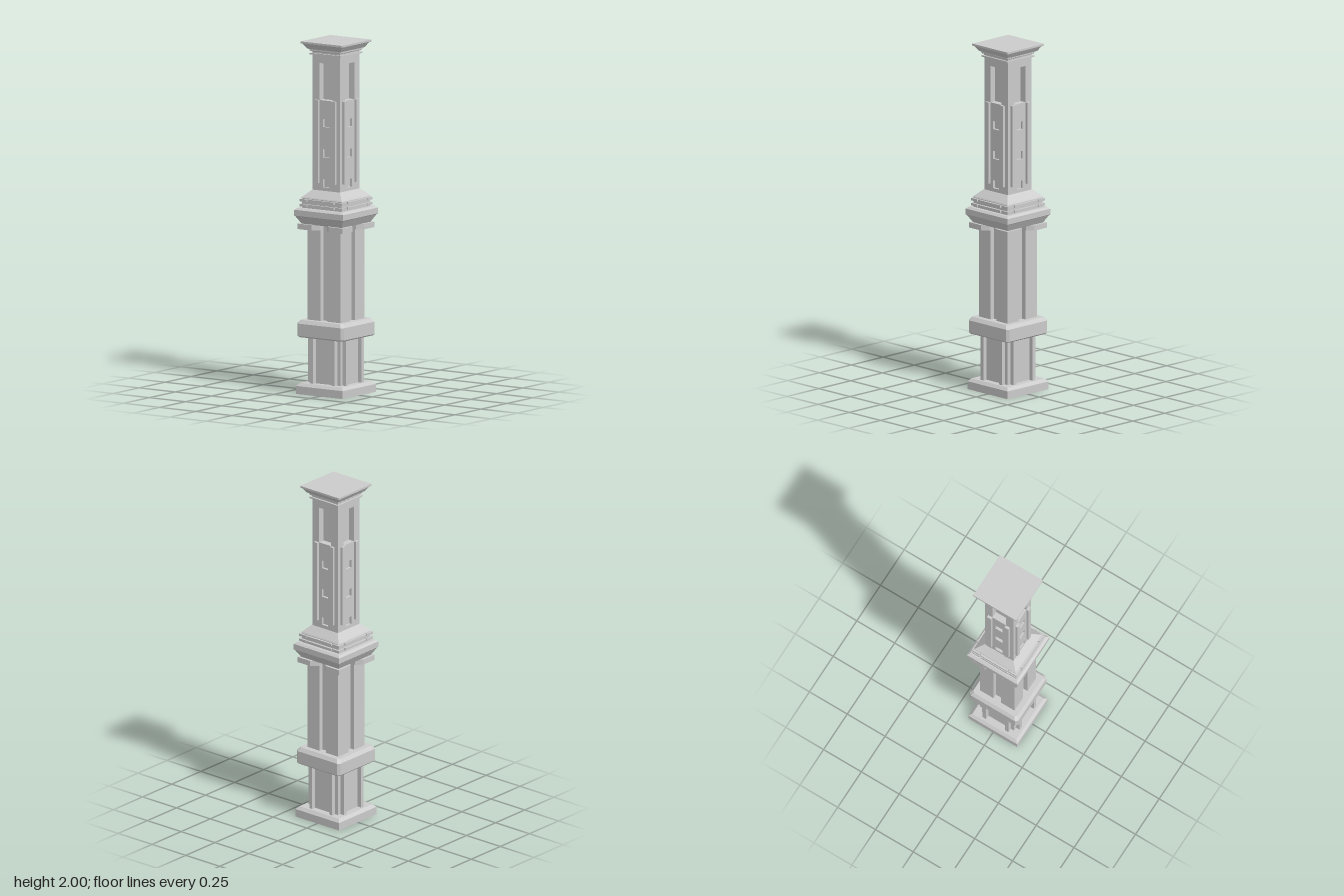
import * as THREE from 'three';

export function createModel() {
  const root = new THREE.Group();
  const mat = new THREE.MeshStandardMaterial({ color: 0xcccccc, flatShading: true });

  const add = (name, geo, parent = root) => {
    const mesh = new THREE.Mesh(geo, mat);
    mesh.name = name;
    parent.add(mesh);
    return mesh;
  };
  // Box given by its extents
  const box = (name, x0, x1, y0, y1, z0, z1, parent) => {
    const geo = new THREE.BoxGeometry(x1 - x0, y1 - y0, z1 - z0);
    geo.translate((x0 + x1) / 2, (y0 + y1) / 2, (z0 + z1) / 2);
    return add(name, geo, parent);
  };
  // Square turned moulding from [half width, height] pairs, bottom to top
  const moulding = (name, profile) => {
    const pts = [[0, profile[0][1]], ...profile, [0, profile[profile.length - 1][1]]];
    const geo = new THREE.LatheGeometry(pts.map(([h, y]) => new THREE.Vector2(h * Math.SQRT2, y)), 4, Math.PI / 4);
    return add(name, geo);
  };
  // Upright prism from a plan outline, with optional tapers
  const prism = (name, outline, y0, y1, topScale = 1, bottomScale = 1, parent = root) => {
    const shape = new THREE.Shape(outline.map(([x, z]) => new THREE.Vector2(x, -z)));
    const geo = new THREE.ExtrudeGeometry(shape, { depth: y1 - y0, bevelEnabled: false });
    geo.rotateX(-Math.PI / 2).translate(0, y0, 0);
    const p = geo.attributes.position;
    for (let i = 0; i < p.count; i++) {
      const s = p.getY(i) > (y0 + y1) / 2 ? topScale : bottomScale;
      p.setXYZ(i, p.getX(i) * s, p.getY(i), p.getZ(i) * s);
    }
    return add(name, geo, parent);
  };
  // Repeat a part on all four sides
  const fourSides = (name, build) => {
    for (let i = 0; i < 4; i++) {
      const side = new THREE.Group();
      side.name = name;
      side.rotation.y = i * Math.PI / 2;
      build(side);
      root.add(side);
    }
  };

  // Plinth
  moulding('plinth', [[0.161, 0], [0.161, 0.045], [0.145, 0.062]]);

  // Lower shaft with two ribs per face
  moulding('lowerShaft', [[0.106, 0.06], [0.106, 0.33]]);
  fourSides('lowerRibs', (g) => {
    for (const x of [-0.085, 0.063]) box('lowerRib', x, x + 0.022, 0.06, 0.33, 0.1, 0.131, g);
  });

  // Band with clipped corners
  const a = 0.161, b = 0.147;
  const octagon = [[a, b], [b, a], [-b, a], [-a, b], [-a, -b], [-b, -a], [b, -a], [a, -b]];
  prism('bandFoot', octagon, 0.323, 0.33, 1, 0.96);
  prism('band', octagon, 0.33, 0.4);
  prism('bandSlope', octagon, 0.4, 0.42, 0.9);

  // Middle shaft: core, corner posts and clipped brackets
  moulding('middleCore', [[0.088, 0.41], [0.088, 0.97]]);
  fourSides('middleCorner', (g) => {
    box('middlePost', 0.024, 0.114, 0.41, 0.97, 0.024, 0.114, g);
    prism('bracket', [[0.154, 0.154], [0.058, 0.154], [0.024, 0.12], [0.024, 0.024], [0.12, 0.024], [0.154, 0.058]],
      0.935, 0.966, 1, 1, g);
  });

  // Cornice, notched plates and sloped shoulder
  moulding('cornice', [[0.138, 0.965], [0.163, 1.008], [0.168, 1.012], [0.168, 1.045], [0.155, 1.056]]);
  moulding('plateCore', [[0.136, 1.05], [0.136, 1.115]]);
  for (const y of [1.064, 1.093]) {
    fourSides('notchedPlate', (g) => {
      box('plateMiddle', -0.09, 0.09, y, y + 0.014, 0.1, 0.149, g);
      box('plateCorner', 0.097, 0.147, y, y + 0.014, 0.097, 0.147, g);
    });
  }
  moulding('shoulder', [[0.14, 1.112], [0.136, 1.118], [0.096, 1.157]]);

  // Upper shaft: core, corner posts, pierced panels and raised strips
  moulding('upperCore', [[0.056, 1.15], [0.056, 1.93]]);
  fourSides('upperSide', (g) => {
    box('upperPost', 0.045, 0.094, 1.15, 1.93, 0.045, 0.094, g);
    box('grooveHead', -0.045, 0.045, 1.88, 1.93, 0.05, 0.094, g);
    box('panelBack', -0.045, 0.045, 1.15, 1.67, 0.05, 0.079, g);
    const panel = new THREE.Shape([[-0.045, 1.15], [0.045, 1.15], [0.045, 1.67], [-0.045, 1.67]]
      .map(([x, y]) => new THREE.Vector2(x, y)));
    for (const y of [1.2, 1.37, 1.542]) {
      panel.holes.push(new THREE.Path([[-1, -1], [-1, 1], [1, 1], [1, -1]]
        .map(([i, j]) => new THREE.Vector2(i * 0.023, y + j * 0.023))));
    }
    const geo = new THREE.ExtrudeGeometry(panel, { depth: 0.015, bevelEnabled: false });
    add('piercedPanel', geo.translate(0, 0, 0.079), g);
    for (const x of [-0.071, 0.045]) box('strip', x, x + 0.026, 1.2, 1.67, 0.09, 0.109, g);
  });

  // Capital
  moulding('capitalNeck', [[0.095, 1.92], [0.095, 1.96]]);
  moulding('capitalRing', [[0.106, 1.925], [0.106, 1.934]]);
  moulding('capitalCap', [[0.1, 1.943], [0.106, 1.947], [0.106, 1.956], [0.115, 1.958],
    [0.133, 1.985], [0.142, 1.989], [0.142, 2]]);

  return root;
}
